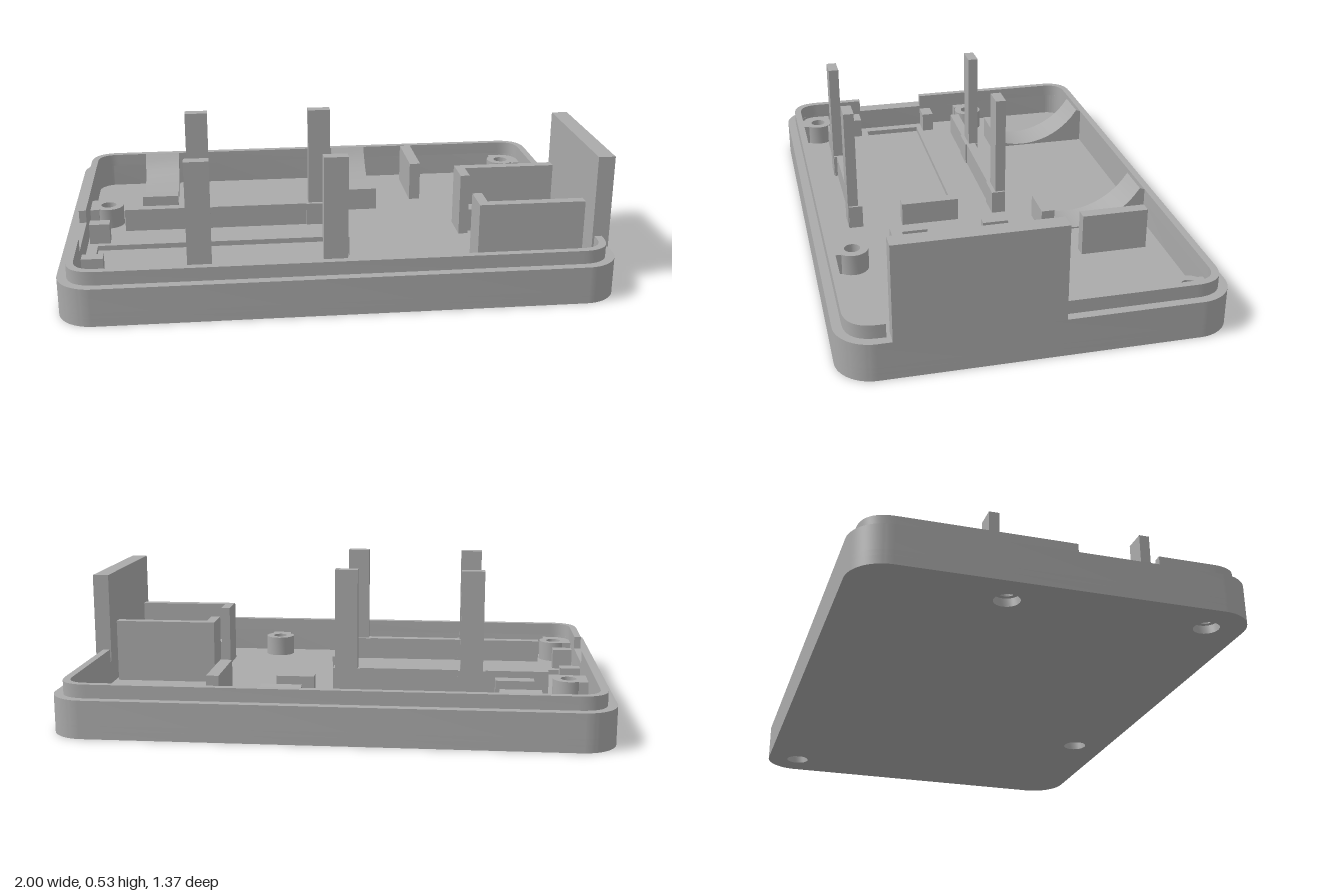
import * as THREE from 'three';
import { toCreasedNormals } from 'three/addons/utils/BufferGeometryUtils.js';

const FLOOR = 0.05, RIM = 0.14, LIP = 0.19;

export function createModel() {
  const model = new THREE.Group();
  model.name = 'enclosureBase';
  const grey = new THREE.MeshStandardMaterial({ color: 0xaaaaaa });
  grey.name = 'grey plastic';

  const add = (name, geometry) => {
    const mesh = new THREE.Mesh(geometry, grey);
    mesh.name = name;
    model.add(mesh);
    return mesh;
  };
  // Box given by its limits on each axis
  const box = (name, x0, x1, y0, y1, z0, z1) => {
    const g = new THREE.BoxGeometry(x1 - x0, y1 - y0, z1 - z0);
    g.translate((x0 + x1) / 2, (y0 + y1) / 2, (z0 + z1) / 2);
    return add(name, g);
  };
  // Plan outline (shape y becomes z) raised from y0 to y1
  const slab = (name, shape, y0, y1) => {
    const g = new THREE.ExtrudeGeometry(shape, { depth: y1 - y0, bevelEnabled: false, curveSegments: 12 });
    g.rotateX(Math.PI / 2).translate(0, y1, 0);
    return add(name, toCreasedNormals(g, 0.5));
  };
  const roundedRect = (w, d, r, Type = THREE.Shape) => {
    const s = new Type();
    s.moveTo(w, -d + r);
    s.absarc(w - r, d - r, r, 0, Math.PI / 2, false);
    s.absarc(-w + r, d - r, r, Math.PI / 2, Math.PI, false);
    s.absarc(-w + r, -d + r, r, Math.PI, Math.PI * 1.5, false);
    s.absarc(w - r, -d + r, r, Math.PI * 1.5, Math.PI * 2, false);
    return s;
  };
  const circle = (x, z, r, Type = THREE.Path) => {
    const c = new Type();
    c.absarc(x, z, r, 0, Math.PI * 2, false);
    return c;
  };

  // Floor: lower layer with counterbores, upper layer with screw holes and a shallow pocket
  const screws = [[0.865, -0.56], [-0.87, -0.155], [-0.87, 0.55], [0.345, 0.55]];
  const lower = roundedRect(1, 0.685, 0.13);
  const upper = roundedRect(1, 0.685, 0.13);
  for (const [x, z] of screws) {
    lower.holes.push(circle(x, z, 0.045));
    upper.holes.push(circle(x, z, 0.03));
  }
  upper.holes.push(new THREE.Path([
    [-0.9, 0.085], [-0.015, 0.085], [-0.015, 0.32], [-0.9, 0.32],
  ].map(([x, z]) => new THREE.Vector2(x, z))));
  slab('floorBottom', lower, 0, 0.03);
  slab('floorTop', upper, 0.03, FLOOR);

  // Outer wall
  const wall = roundedRect(1, 0.685, 0.13);
  wall.holes.push(roundedRect(0.94, 0.625, 0.07, THREE.Path));
  slab('wall', wall, FLOOR, RIM);

  // Raised lip in two U-shaped halves, open at both ends of the tray
  const lipHalf = (name, side, zLeft, zRight) => {
    const bend = (s, x, z, r, sx) => {
      // turns a corner between the end wall and the long wall
      if (sx < 0) {
        s.lineTo(-x, side * (z - r));
        s.quadraticCurveTo(-x, side * z, -x + r, side * z);
      } else {
        s.lineTo(x - r, side * z);
        s.quadraticCurveTo(x, side * z, x, side * (z - r));
      }
    };
    const s = new THREE.Shape();
    s.moveTo(-0.967, zLeft);
    bend(s, 0.967, 0.652, 0.11, -1);
    bend(s, 0.967, 0.652, 0.11, 1);
    s.lineTo(0.967, zRight);
    s.lineTo(0.94, zRight);
    s.lineTo(0.94, side * 0.545);
    s.quadraticCurveTo(0.94, side * 0.625, 0.86, side * 0.625);
    s.lineTo(-0.86, side * 0.625);
    s.quadraticCurveTo(-0.94, side * 0.625, -0.94, side * 0.545);
    s.lineTo(-0.94, zLeft);
    slab(name, s, RIM, LIP);
  };
  lipHalf('backLip', -1, 0.06, -0.085);
  lipHalf('frontLip', 1, 0.345, 0.52);

  // Tall end plate
  box('endPlate', 0.938, 1, RIM, 0.49, -0.075, 0.505);

  // Screw bosses with webs to the walls
  for (const [x, z] of screws) {
    const boss = circle(x, z, 0.06, THREE.Shape);
    boss.holes.push(circle(x, z, 0.03));
    slab('screwBoss', boss, FLOOR, 0.13);
    if (Math.abs(x) > 0.8) {
      const s = Math.sign(x);
      box('bossWeb', Math.min(s * 0.905, s * 0.945), Math.max(s * 0.905, s * 0.945), FLOOR, 0.13, z - 0.055, z + 0.055);
    }
    if (Math.abs(z) > 0.5) {
      const s = Math.sign(z);
      box('bossWeb', x - 0.04, x + 0.04, FLOOR, 0.13, Math.min(s * 0.595, s * 0.63), Math.max(s * 0.595, s * 0.63));
    }
  }

  // Board rails with posts, mirrored about z = 0.207
  for (const s of [-1, 1]) {
    const span = (a, b) => [0.207 + s * a, 0.207 + s * b].sort((p, q) => p - q);
    box('boardRail', -0.8, 0.037, FLOOR, 0.14, ...span(0.267, 0.305));
    for (const x of [-0.503, -0.015]) {
      box('postBase', x - 0.053, x + 0.053, FLOOR, 0.14, ...span(0.262, 0.316));
      box('post', x - 0.044, x + 0.044, FLOOR, 0.53, ...span(0.278, 0.318));
    }
    // Connector guides beside the end plate
    box('guideWall', 0.528, 0.927, FLOOR, 0.295, ...span(0.19, 0.228));
    box('guideHook', 0.528, 0.565, FLOOR, 0.295, ...span(0.1, 0.191));
    box('guideRest', 0.564, 0.63, FLOOR, 0.14, ...span(0.128, 0.191));
    box('guideRest', 0.865, 0.938, FLOOR, 0.14, ...span(0.128, 0.191));
    // Stops at the opposite end
    box('endStop', -0.932, -0.853, FLOOR, 0.13, ...span(0.145, 0.193));
  }

  // Cross ridge and tall stop
  box('crossRidge', 0.015, 0.06, FLOOR, 0.14, 0.09, 0.315);
  box('tallStop', 0.4, 0.445, FLOOR, 0.21, -0.56, -0.305);

  // Concave cradles: arc rising to the back wall, with a block in front
  for (const x0 of [-0.735, 0.095]) {
    const cz = -0.35, cy = 0.355, r = 0.3;
    const s = new THREE.Shape();
    s.moveTo(0.625, FLOOR);
    s.lineTo(0.625, LIP);
    const n = 16;
    for (let i = 0; i <= n; i++) {
      const z = -0.605 + (0.35 * i) / n;
      s.lineTo(-z, cy - Math.sqrt(r * r - (z - cz) ** 2));
    }
    s.lineTo(0.255, FLOOR);
    const g = new THREE.ExtrudeGeometry(s, { depth: 0.145, bevelEnabled: false });
    g.rotateY(Math.PI / 2).translate(x0, 0, 0);
    add('cradle', toCreasedNormals(g, 0.4));
    box('cradleBlock', x0, x0 + 0.145, FLOOR, 0.14, -0.256, -0.205);
  }

  return model;
}
